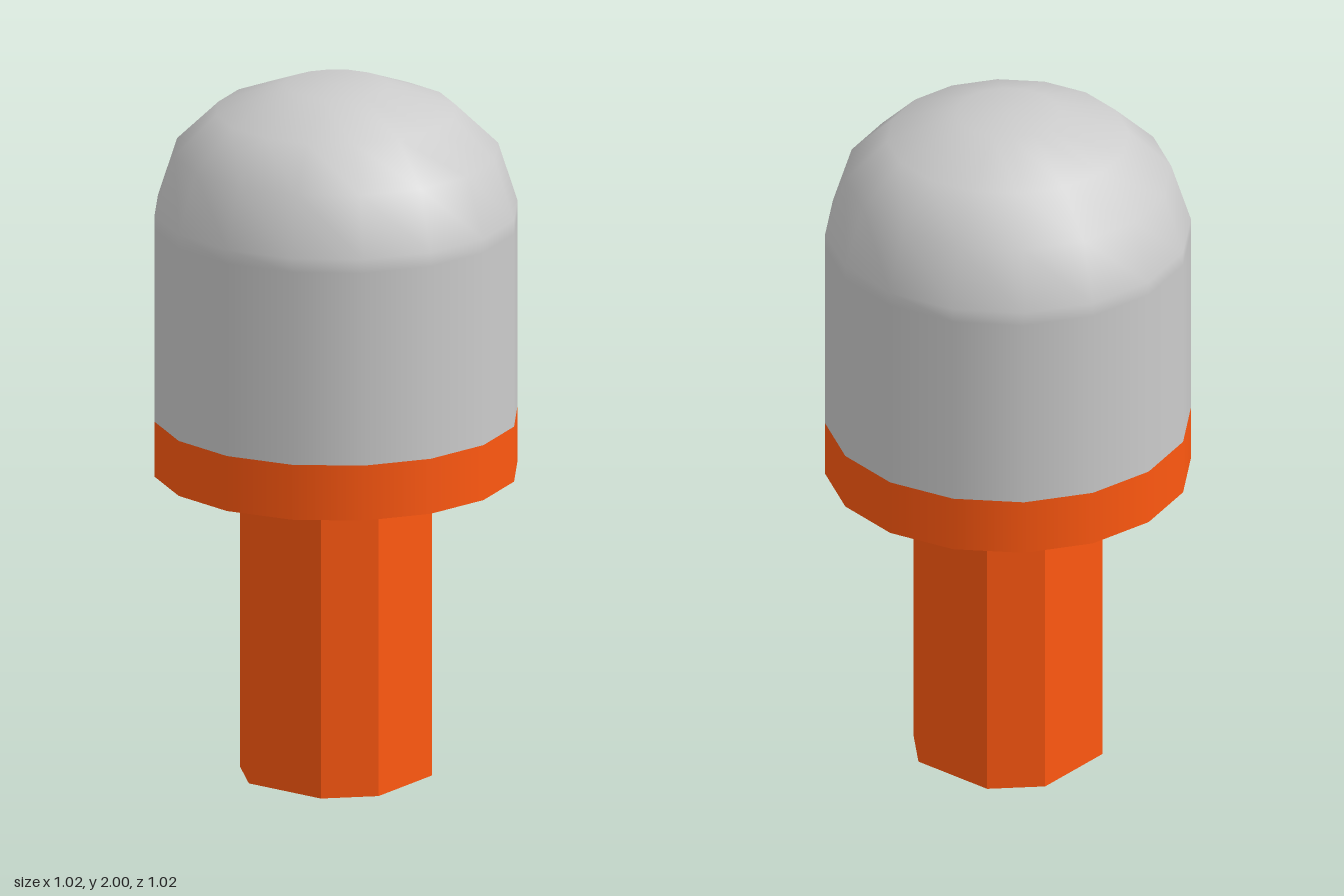
import * as THREE from 'three';

export function createModel() {
  const model = new THREE.Group();
  const grey = new THREE.MeshStandardMaterial({ color: 0xcccccc });
  const orange = new THREE.MeshStandardMaterial({ color: 0xff5810 });
  const orangeFlat = new THREE.MeshStandardMaterial({ color: 0xff5810, flatShading: true });

  const add = (name, geometry, material, y = 0) => {
    const mesh = new THREE.Mesh(geometry, material);
    mesh.name = name;
    mesh.position.y = y;
    model.add(mesh);
    return mesh;
  };

  const sides = 16, radius = 0.512;
  const postTop = 0.88, bandTop = 1.04;

  // Post: a square with chamfered corners, extruded upwards
  const a = 0.24, b = 0.125;
  const outline = [[a, -b], [a, b], [b, a], [-b, a], [-a, b], [-a, -b], [-b, -a], [b, -a]];
  const shape = new THREE.Shape(outline.map(([x, y]) => new THREE.Vector2(x, y)));
  const post = new THREE.ExtrudeGeometry(shape, { depth: postTop, bevelEnabled: false });
  post.rotateX(-Math.PI / 2);
  add('post', post, orangeFlat);

  // Band: a short collar under the dome
  const bandHeight = bandTop - postTop;
  const band = new THREE.CylinderGeometry(radius, radius, bandHeight, sides);
  add('band', band, orange, postTop + bandHeight / 2);

  // Dome: straight wall rounding over to a small flat top
  const profile = [
    [radius, bandTop], [radius, 1.6], [radius, 1.64],
    [0.457, 1.81], [0.338, 1.925], [0.145, 2], [0, 2],
  ].map(([r, y]) => new THREE.Vector2(r, y));
  add('dome', new THREE.LatheGeometry(profile, sides), grey);

  return model;
}
